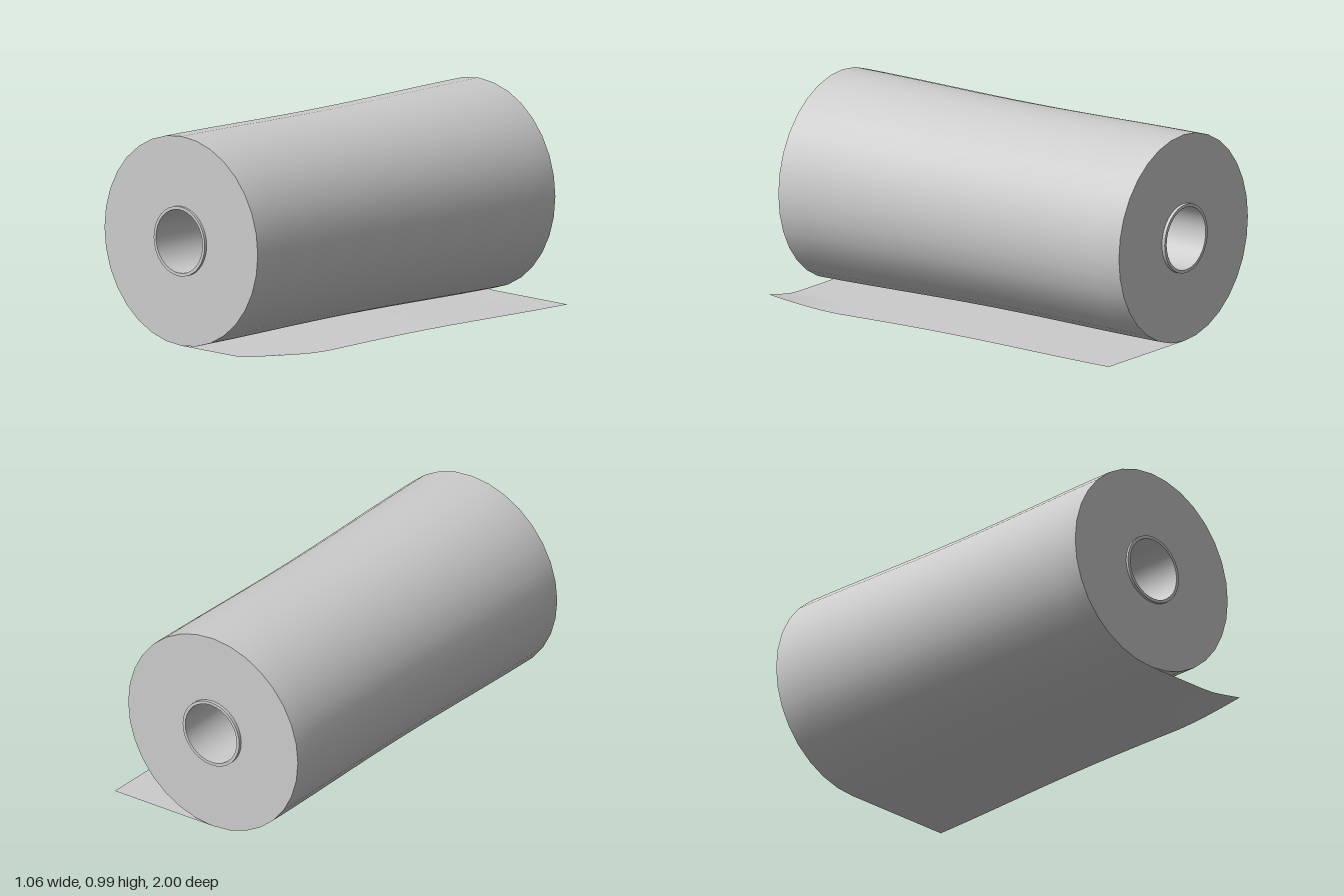
import * as THREE from 'three';
import { toCreasedNormals } from 'three/addons/utils/BufferGeometryUtils.js';

const CX = -0.04, CY = 0.496, R = 0.492;
const Z_BACK = -0.984, Z_FRONT = 0.987;

// Slight slackening of the paper toward the middle of the roll
const waist = (z) => 0.011 * Math.pow(Math.cos((Math.min(1, Math.abs(z)) * Math.PI) / 2), 2);

// Turns a closed [radius, z] profile around the roll's axis
function turned(profile, segments) {
  const points = profile.map(([r, z]) => new THREE.Vector2(r, z));
  const geometry = new THREE.LatheGeometry(points, segments);
  geometry.rotateX(Math.PI / 2);
  return toCreasedNormals(geometry, 0.6);
}

export function createModel() {
  const group = new THREE.Group();
  const material = new THREE.MeshStandardMaterial({ color: 0xcccccc });
  const sheetMaterial = new THREE.MeshStandardMaterial({ color: 0xcccccc, side: THREE.DoubleSide });

  const add = (name, geometry, mat = material) => {
    const mesh = new THREE.Mesh(geometry, mat);
    mesh.name = name;
    group.add(mesh);
    return mesh;
  };

  // Wound paper: flat annular ends and a gently waisted side
  const side = [];
  const steps = 14;
  for (let i = 0; i <= steps; i++) {
    const z = THREE.MathUtils.lerp(Z_BACK, Z_FRONT, i / steps);
    side.push([R - waist(z), z]);
  }
  add('paperRoll', turned([[0.16, Z_BACK], ...side, [0.16, Z_FRONT]], 32)).position.set(CX, CY, 0);

  // Hollow cardboard core, sticking out a little at both ends
  const core = [[0.149, -1], [0.164, -1], [0.164, 1], [0.149, 1], [0.149, -1]];
  add('cardboardCore', turned(core, 32)).position.set(CX, CY, 0);

  // Loose sheet along the ground, with the front outer corner curling up
  const sheet = new THREE.PlaneGeometry(1, 1, 10, 20);
  sheet.rotateX(-Math.PI / 2);
  const pos = sheet.attributes.position;
  for (let i = 0; i < pos.count; i++) {
    const u = pos.getX(i) + 0.5;
    const z = THREE.MathUtils.lerp(Z_BACK, Z_FRONT, pos.getZ(i) + 0.5);
    const x = THREE.MathUtils.lerp(CX, 0.53 - 0.7 * waist(z), u);
    const curlX = THREE.MathUtils.clamp((x - 0.33) / 0.2, 0, 1);
    const curlZ = THREE.MathUtils.clamp((z - 0.62) / 0.367, 0, 1);
    const y = 0.004 * (1 - u) + 0.8 * waist(z) + 0.034 * Math.pow(curlX, 1.2) * Math.pow(curlZ, 1.3);
    pos.setXYZ(i, x, y, z);
  }
  sheet.computeVertexNormals();
  add('looseSheet', sheet, sheetMaterial);

  return group;
}
